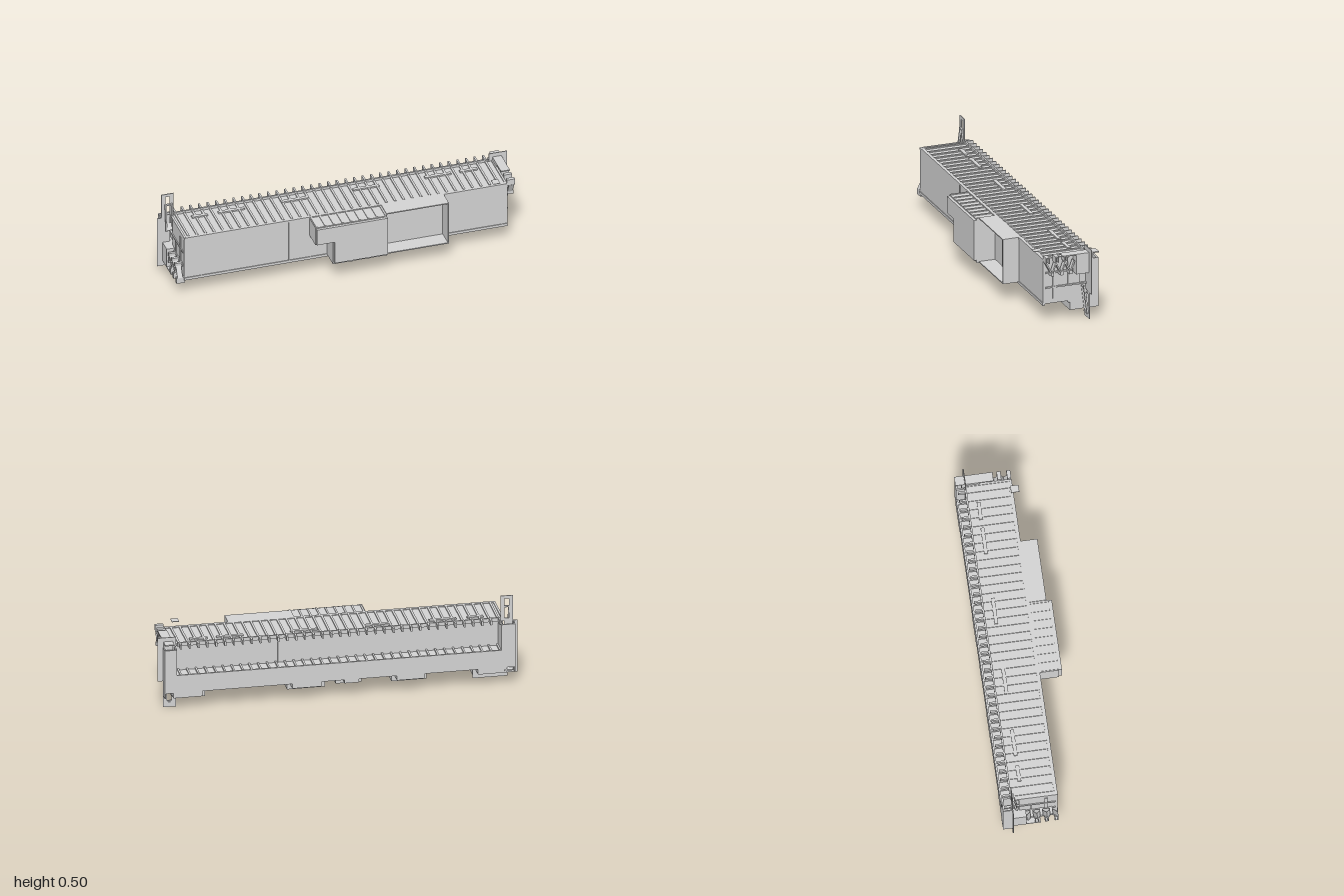
import * as THREE from 'three';

export function createModel() {
  const root = new THREE.Group();
  const grey = new THREE.MeshStandardMaterial({ color: 0xd4d4d4 });
  grey.name = 'plain grey';

  function add(name, geometry, parent = root) {
    const m = new THREE.Mesh(geometry, grey);
    m.name = name;
    parent.add(m);
    return m;
  }
  // box given by its limits on each axis
  function box(name, x0, x1, y0, y1, z0, z1, parent) {
    const m = add(name, new THREE.BoxGeometry(x1 - x0, y1 - y0, z1 - z0), parent);
    m.position.set((x0 + x1) / 2, (y0 + y1) / 2, (z0 + z1) / 2);
  }
  // square bar between two points, leaning in the yz plane
  function bar(name, x, [y0, z0], [y1, z1], w, d, parent) {
    const m = add(name, new THREE.BoxGeometry(w, d, Math.hypot(y1 - y0, z1 - z0)), parent);
    m.position.set(x, (y0 + y1) / 2, (z0 + z1) / 2);
    m.rotation.x = -Math.atan2(y1 - y0, z1 - z0);
  }
  // flat plate in the xy plane, extruded from z0 to z1, with optional holes
  function plate(name, points, z0, z1, holes = []) {
    const shape = new THREE.Shape(points.map(p => new THREE.Vector2(...p)));
    for (const [x0, x1, y0, y1] of holes)
      shape.holes.push(new THREE.Path([[x0, y0], [x0, y1], [x1, y1], [x1, y0]].map(p => new THREE.Vector2(...p))));
    const g = new THREE.ExtrudeGeometry(shape, { depth: z1 - z0, bevelEnabled: false });
    g.translate(0, 0, z0);
    add(name, g);
  }
  const rect = (x0, x1, y0, y1) => [[x0, y0], [x1, y0], [x1, y1], [x0, y1]];
  function group(name) {
    const g = new THREE.Group();
    g.name = name;
    root.add(g);
    return g;
  }

  // main hull and the lower sill behind it
  box('mainHull', -0.925, 0.92, 0.105, 0.358, -0.12, 0.092);
  box('lowerSill', -0.92, 0.915, 0.105, 0.195, -0.205, -0.12);
  box('roofPlate', -0.925, 0.92, 0.354, 0.362, -0.16, 0.092);
  box('roofFrontRim', -0.925, 0.92, 0.355, 0.366, 0.075, 0.094);
  box('roofRearRim', -0.905, 0.89, 0.355, 0.376, -0.167, -0.157);
  for (const x of [-0.919, 0.914]) box('roofEndRim', x - 0.006, x + 0.006, 0.355, 0.367, -0.16, 0.09);

  // slats along the roof, rear edge, walkway and underside
  const roof = group('roofSlats'), deck = group('walkwaySlats'), under = group('undersideSlats');
  for (let i = 0; i < 37; i++) {
    const x = -0.895 + i * 0.0492;
    box('roofRib', x - 0.006, x + 0.006, 0.358, 0.368, -0.16, 0.078, roof);
    box('edgeTooth', x - 0.005, x + 0.005, 0.352, 0.378, -0.205, -0.16, roof);
    box('walkwaySlat', x - 0.005, x + 0.005, 0.196, 0.204, -0.205, -0.12, deck);
    box('undersideSlat', x - 0.006, x + 0.006, 0.092, 0.106, -0.16, 0.085, under);
  }
  for (const [x0, x1] of [[-0.82, -0.73], [-0.67, -0.52], [-0.31, -0.155], [0.1, 0.25], [0.51, 0.66], [0.71, 0.81]])
    box('roofStrip', x0, x1, 0.36, 0.37, -0.112, -0.092, roof);
  for (const z of [0.088, -0.06]) box('undersideEdge', -0.925, 0.92, 0.095, 0.107, z - 0.006, z + 0.006, under);

  // outer rear wall with raised ends and lowered tabs
  const tabs = [[-0.93, -0.77, 0.07], [-0.475, -0.32, 0.073], [-0.11, -0.03, 0.08], [0.095, 0.26, 0.073], [0.76, 0.92, 0.07]];
  const outline = [[-0.978, 0.1]];
  for (const [a, b, y] of tabs) outline.push([a, 0.1], [a, y], [b, y], [b, 0.1]);
  outline.push([0.968, 0.1], [0.968, 0.353], [0.9, 0.353], [0.9, 0.203], [-0.9, 0.203], [-0.9, 0.353], [-0.978, 0.353]);
  plate('rearWall', outline, -0.213, -0.203);
  for (const [x, inner] of [[-0.978, -0.908], [0.962, 0.9]]) {
    box('endReturn', x, x + 0.006, 0.07, 0.353, -0.213, -0.16);
    box('recessEnd', inner, inner + 0.008, 0.195, 0.356, -0.205, -0.12);
  }

  // boxes hanging under the sill, filled back to the wall tabs
  const pods = [[-0.945, -0.75, 0.048], [-0.495, -0.3, 0.048], [-0.135, 0.01, 0.06], [0.07, 0.28, 0.048], [0.735, 0.915, 0.048]];
  pods.forEach(([a, b, y], i) => {
    const [c, d, h] = tabs[i];
    box('hangingBox', a, b, y, 0.11, -0.16, -0.065);
    box('hangingBoxBack', c, d, h, 0.11, -0.205, -0.16);
  });
  plate('hangingPlate', rect(-0.945, -0.75, 0.03, 0.1), -0.163, -0.159);

  // stepped bay on the front, with a proud front panel
  plate('steppedBay', [[-0.21, 0.25], [-0.11, 0.25], [-0.11, 0.108], [0.2, 0.108], [0.2, 0.36], [-0.21, 0.36]], 0.09, 0.2);
  plate('steppedBayPanel', [[-0.205, 0.257], [-0.103, 0.257], [-0.103, 0.122], [0.2, 0.122], [0.2, 0.354], [-0.205, 0.354]], 0.2, 0.216);
  for (let x = -0.2; x < 0.2; x += 0.0492) {
    box('bayRoofRib', x - 0.005, x + 0.005, 0.355, 0.364, 0.09, 0.198);
    if (x > -0.1) box('bayFloorRib', x - 0.005, x + 0.005, 0.104, 0.112, 0.09, 0.198);
  }

  // open-fronted bay: roof, floor and side
  box('openBayRoof', 0.2, 0.557, 0.36, 0.366, 0.09, 0.186);
  box('openBayFloor', 0.2, 0.557, 0.106, 0.112, 0.09, 0.186);
  box('openBaySide', 0.551, 0.557, 0.106, 0.366, 0.09, 0.186);

  // panel seams
  for (const x of [-0.325, 0.315]) box('frontSeam', x - 0.003, x + 0.003, 0.108, 0.358, 0.09, 0.096);
  for (const x of [-0.35, 0.32]) box('rearSeam', x - 0.004, x + 0.004, 0.2, 0.355, -0.126, -0.12);
  box('frontBottomTrim', -0.925, 0.92, 0.1, 0.112, 0.088, 0.096);
  box('floatingPlate', 0.83, 0.87, 0.394, 0.397, 0.08, 0.125);

  // end fittings; the far end is the near end turned half a turn in the xy plane
  for (const s of [1, -1]) {
    const end = group(s > 0 ? 'leftEndFittings' : 'rightEndFittings');
    if (s < 0) {
      end.rotation.z = Math.PI;
      end.position.set(-0.003, 0.468, 0);
    }
    box('endCrossbar', 0.915, 0.928, 0.195, 0.203, -0.213, 0.08, end);
    box('endUpperBar', 0.915, 0.928, 0.281, 0.289, -0.08, 0.08, end);
    box('endPost', 0.915, 0.926, 0.13, 0.28, 0.021, 0.037, end);
    box('endSidePost', 0.915, 0.926, 0.2, 0.36, -0.057, -0.05, end);
    // clips joined by zigzag arms
    for (const z of [0.082, 0.028, -0.025]) {
      for (const d of [-0.008, 0.008]) box('clipSide', 0.925, 0.965, 0.352, 0.387, z + d - 0.0025, z + d + 0.0025, end);
      box('clipBack', 0.918, 0.93, 0.352, 0.387, z - 0.01, z + 0.01, end);
      box('clipTop', 0.925, 0.965, 0.382, 0.387, z - 0.01, z + 0.01, end);
      box('armFoot', 0.918, 0.965, 0.276, 0.297, z - 0.036, z - 0.02, end);
      bar('clipArm', 0.945, [0.355, z + 0.008], [0.293, z - 0.024], 0.03, 0.008, end);
      bar('clipArm', 0.945, [0.35, z - 0.05], [0.293, z - 0.03], 0.03, 0.008, end);
    }
    box('endBox', 0.915, 0.966, 0.27, 0.386, -0.18, -0.083, end);
    box('endTopRail', 0.915, 0.966, 0.381, 0.387, -0.215, -0.005, end);
    // leaning twin rods
    for (const x of [0.915, 0.95]) bar('leaningRod', x, [0.19, -0.135], [0.03, -0.155], 0.008, 0.01, end);
    box('rodFoot', 0.91, 0.955, 0.028, 0.036, -0.16, -0.148, end);
    bar('rodHinge', 0.932, [0.185, -0.135], [0.15, -0.155], 0.035, 0.008, end);
  }

  // thin upright end plates
  plate('leftUpperPlate', rect(0.895, 0.998, 0.155, 0.41), -0.163, -0.158);
  plate('leftLowerPlate', rect(0.897, 0.968, 0.001, 0.155), -0.163, -0.158, [[0.918, 0.948, 0.03, 0.14]]);
  plate('rightUpperPlate', rect(-0.975, -0.905, 0.355, 0.502), -0.163, -0.158, [[-0.952, -0.928, 0.37, 0.485]]);
  plate('rightLowerPlate', rect(-1, -0.925, 0.05, 0.355), -0.163, -0.158);

  return root;
}
